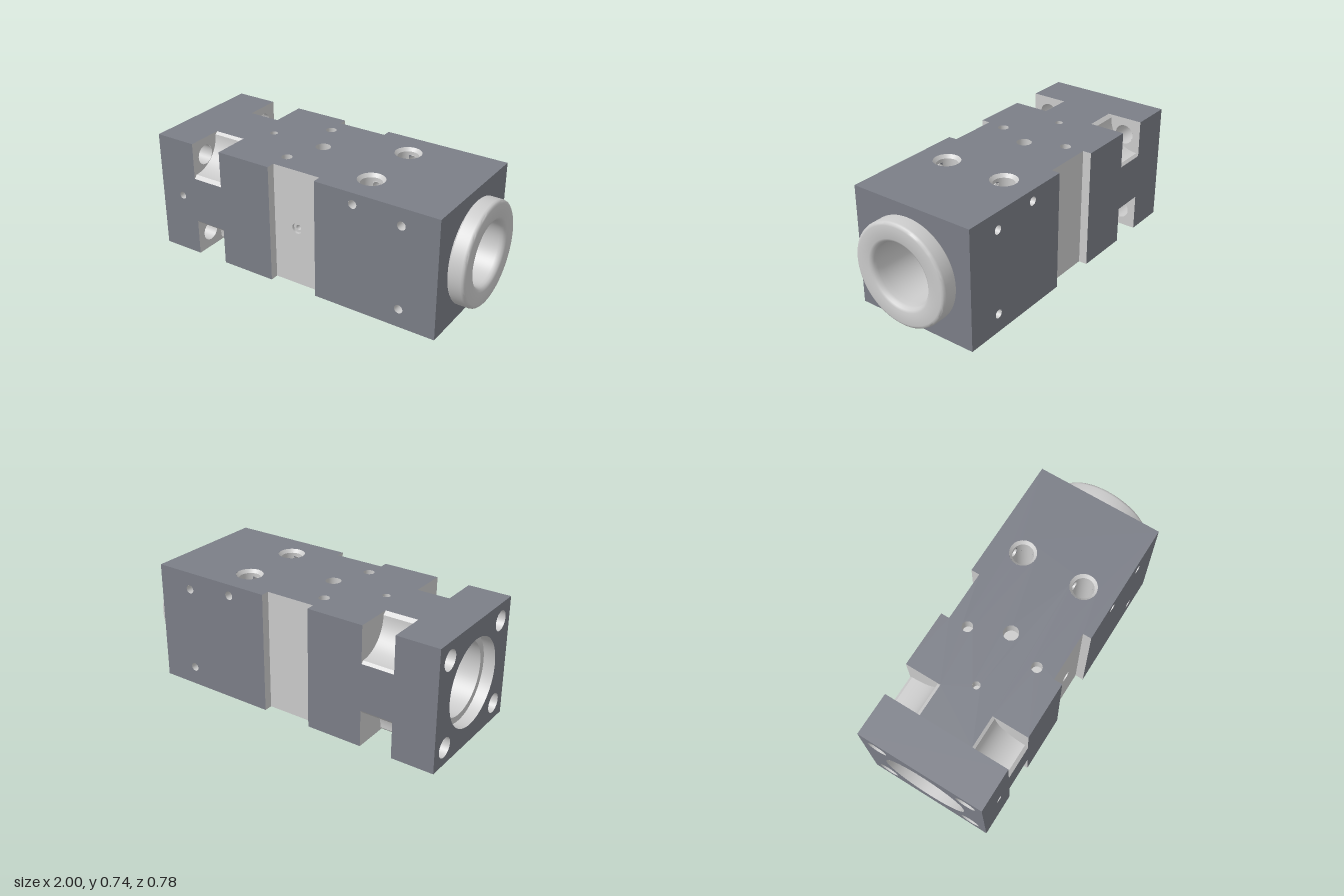
import * as THREE from 'three';
import { toCreasedNormals } from 'three/addons/utils/BufferGeometryUtils.js';

const W = 0.392, H = 0.735, CY = 0.37, L = -1, R = 0.89; // half depth, height, bore axis, ends
const G0 = -0.19, G1 = 0.12, GZ = 0.34;                   // side groove
const N0 = -0.74, N1 = -0.54, ND = 0.225;                 // bolt pockets
const dark = new THREE.MeshStandardMaterial({ color: 0x7b7e87, side: THREE.DoubleSide });
const grey = new THREE.MeshStandardMaterial({ color: 0xcccccc, side: THREE.DoubleSide });

function mesh(name, geo, mat) {
  const m = new THREE.Mesh(geo, mat);
  m.name = name;
  return m;
}

// Flat face with round holes given as [x, y, radius]
function plate(points, holes = []) {
  const s = new THREE.Shape(points.map(p => new THREE.Vector2(...p)));
  for (const [x, y, r] of holes) s.holes.push(new THREE.Path().absarc(x, y, r, 0, Math.PI * 2, true));
  return new THREE.ShapeGeometry(s, 32);
}

const rect = (x0, y0, x1, y1) => [[x0, y0], [x1, y0], [x1, y1], [x0, y1]];

// Open tube running from y0 to y1, optionally only part of the turn
function tube(r0, r1, y0, y1, start = 0, sweep = Math.PI * 2) {
  return new THREE.CylinderGeometry(r1, r0, y1 - y0, 32, 1, true, start, sweep).translate(0, (y0 + y1) / 2, 0);
}

// Blind hole; its mouth is at the position and faces the direction
function drill(name, pos, dir, r, depth) {
  const g = new THREE.Group();
  g.name = name;
  g.add(mesh('holeWall', tube(r, r, -depth, 0), grey));
  g.add(mesh('holeFloor', new THREE.CircleGeometry(r, 32).rotateX(-Math.PI / 2).translate(0, -depth, 0), grey));
  g.position.set(...pos);
  g.quaternion.setFromUnitVectors(new THREE.Vector3(0, 1, 0), new THREE.Vector3(...dir));
  return g;
}

// Rounded pocket on a long edge with a bolt hole to the end face; origin at the edge
function boltPocket() {
  const g = new THREE.Group();
  g.name = 'boltPocket';
  const prof = [[0, -ND]];
  for (let i = 0; i <= 20; i++) {
    const a = -Math.PI / 2 - (i / 20) * Math.PI / 2;
    prof.push([-0.02 + 0.19 * Math.cos(a), -0.015 + 0.19 * Math.sin(a)]);
  }
  prof.push([-ND, 0]);
  const pos = [], idx = [];
  prof.forEach(([z, y], i) => {
    pos.push(N0, y, z, N1, y, z);
    if (i) idx.push(2 * i - 2, 2 * i, 2 * i - 1, 2 * i - 1, 2 * i, 2 * i + 1);
  });
  const floor = new THREE.BufferGeometry();
  floor.setAttribute('position', new THREE.Float32BufferAttribute(pos, 3));
  floor.setIndex(idx);
  g.add(mesh('pocketFloor', toCreasedNormals(floor, 0.4), grey));
  for (const [x, holes] of [[N0, [[-0.108, -0.108, 0.06]]], [N1, []]])
    g.add(mesh('pocketWall', plate([...prof, [0, 0]], holes).rotateY(-Math.PI / 2).translate(x, 0, 0), grey));
  g.add(mesh('boltHole', tube(0.06, 0.06, L, N0).rotateZ(-Math.PI / 2).translate(0, -0.108, -0.108), grey));
  return g;
}

export function createModel() {
  const model = new THREE.Group();
  model.name = 'clampBlock';
  const add = (...a) => model.add(mesh(...a));

  // Top and bottom faces, notched by the grooves and pockets
  const half = [[L, W], [N0, W], [N0, W - ND], [N1, W - ND], [N1, W], [G0, W], [G0, GZ], [G1, GZ], [G1, W], [R, W]];
  const outline = [...half, ...half.map(([x, z]) => [x, -z]).reverse()];
  const PX = 0.365, PZ = 0.2;
  const ports = [[PX, PZ, 0.08], [PX, -PZ, 0.08]];
  const topHoles = [[-0.44, 0, 0.023], [-0.085, 0, 0.045], [-0.18, 0.225, 0.032], [-0.18, -0.225, 0.032]];
  const baseHoles = [[-0.18, 0.225, 0.016], [-0.18, -0.225, 0.016]];
  add('topFace', plate(outline, [...ports, ...topHoles]).rotateX(-Math.PI / 2).translate(0, H, 0), dark);
  add('bottomFace', plate(outline, [...ports, ...baseHoles]).rotateX(Math.PI / 2), dark);
  for (const [x, z, r] of topHoles) model.add(drill('topHole', [x, H, -z], [0, 1, 0], r, 0.08));
  for (const [x, z, r] of baseHoles) model.add(drill('bottomHole', [x, 0, z], [0, -1, 0], r, 0.06));

  // Front and back faces with the groove between the two halves
  const cross = [PX, 0.667, 0.026];
  const sideHoles = [[0.665, 0.63, 0.026], [0.665, 0.115, 0.026]];
  const leftPiece = [[L, 0], [N0, 0], [N0, ND], [N1, ND], [N1, 0], [G0, 0],
    [G0, H], [N1, H], [N1, H - ND], [N0, H - ND], [N0, H], [L, H]];
  for (const s of [1, -1]) {
    const front = s > 0;
    const pin = front ? [[-0.845, CY, 0.023]] : [];
    const dimple = front ? [[-0.035, CY, 0.033]] : [];
    add('sideFace', plate(leftPiece, pin).translate(0, 0, s * W), dark);
    add('sideFace', plate(rect(G1, 0, R, H), [...sideHoles, cross]).translate(0, 0, s * W), dark);
    add('grooveFloor', plate(rect(G0, 0, G1, H), dimple).translate(0, 0, s * GZ), grey);
    for (const x of [G0, G1])
      add('grooveWall', plate(rect(GZ, 0, W, H)).rotateY(-Math.PI / 2).translate(x, 0, s > 0 ? 0 : -W - GZ), grey);
    for (const [x, y, r] of [...sideHoles, ...pin])
      model.add(drill('sideHole', [x, y, s * W], [0, 0, s], r, 0.07));
    if (front) {
      const ring = plate(rect(0, 0, 0, 0));
      ring.dispose();
      add('dimpleWall', tube(0.033, 0.033, GZ - 0.015, GZ).rotateX(Math.PI / 2).translate(-0.035, CY, 0), grey);
      add('dimpleFloor', new THREE.RingGeometry(0.016, 0.033, 32).translate(-0.035, CY, GZ - 0.015), grey);
      model.add(drill('dimpleHole', [-0.035, CY, GZ - 0.015], [0, 0, 1], 0.016, 0.05));
    }

    // Vertical through port, opened where the cross hole passes
    const port = new THREE.Group();
    port.name = 'verticalPort';
    const r = 0.063, y0 = cross[1] - 0.026, y1 = cross[1] + 0.026, open = 0.42;
    port.add(mesh('portMouth', tube(r, 0.08, H - 0.02, H), grey));
    port.add(mesh('portWall', tube(r, r, y1, H - 0.02), grey));
    for (const a of [open, Math.PI + open])
      port.add(mesh('portWall', tube(r, r, y0, y1, a, Math.PI - 2 * open), grey));
    port.add(mesh('portWall', tube(r, r, 0.02, y0), grey));
    port.add(mesh('portMouth', tube(0.08, r, 0, 0.02), grey));
    port.position.set(PX, 0, s * PZ);
    model.add(port);
  }

  // Cross hole in three lengths, either side of and between the ports
  const reach = 0.058;
  for (const [z0, z1] of [[-W, -PZ - reach], [-PZ + reach, PZ - reach], [PZ + reach, W]])
    add('crossHole', tube(0.026, 0.026, z0, z1).rotateX(Math.PI / 2).translate(PX, cross[1], 0), grey);

  // End faces
  const b = W - 0.108;
  const bolts = [[b, H - 0.108], [b, 0.108], [-b, H - 0.108], [-b, 0.108]].map(p => [...p, 0.06]);
  add('leftEndFace', plate(rect(-W, 0, W, H), [[0, CY, 0.26], ...bolts]).rotateY(-Math.PI / 2).translate(L, 0, 0), dark);
  add('rightEndFace', plate(rect(-W, 0, W, H), [[0, CY, 0.28]]).rotateY(Math.PI / 2).translate(R, 0, 0), dark);

  // Corner pockets, turned about the long axis
  [[H, W], [0, W], [0, -W], [H, -W]].forEach(([y, z], k) => {
    const p = boltPocket();
    p.position.set(0, y, z);
    p.rotation.x = k * Math.PI / 2;
    model.add(p);
  });

  // Stepped bore and the collar around its right mouth, as [radius, x]
  const profile = [[0.26, L], [0.26, -0.93], [0.22, -0.93], [0.22, -0.45], [0.155, -0.45], [0.155, 0.4],
    [0.187, 0.93], [0.187, 0.965], [0.191, 0.982], [0.2, 0.994], [0.214, 1], [0.288, 1], [0.298, 0.998],
    [0.306, 0.991], [0.309, 0.98], [0.309, 0.908], [0.302, 0.9], [0.28, 0.9], [0.28, R]];
  const lathe = new THREE.LatheGeometry(profile.map(p => new THREE.Vector2(...p)), 72);
  add('boreAndCollar', toCreasedNormals(lathe, 0.6).rotateZ(-Math.PI / 2).translate(0, CY, 0), grey);

  return model;
}
